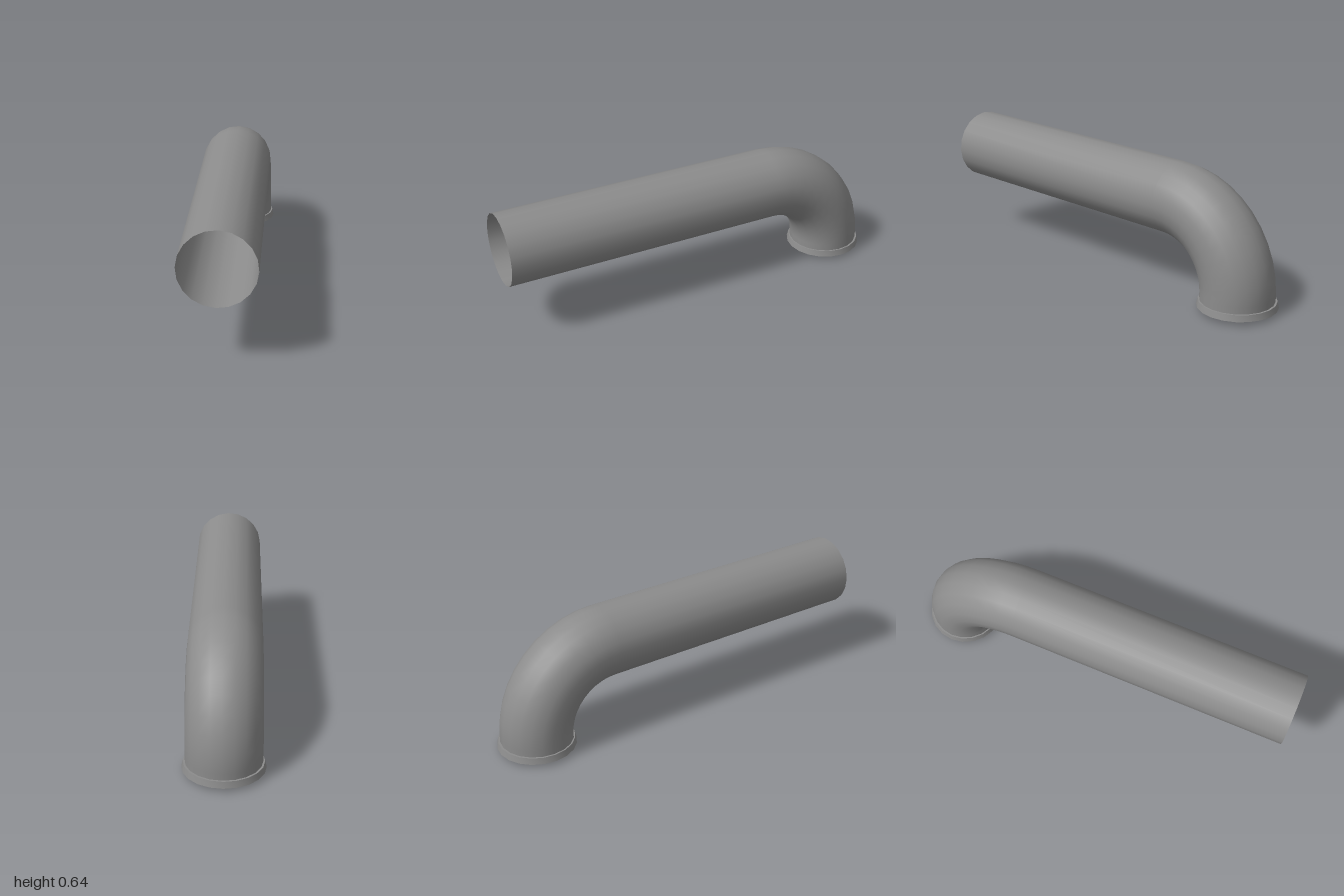
import * as THREE from 'three';
import { toCreasedNormals } from 'three/addons/utils/BufferGeometryUtils.js';

const SIDES = 20, RADIUS = 0.178, BEND = 0.382, BEND_STEPS = 10;
const AXIS_Y = 0.462, DOWN_Z = -0.805;

// Sweeps a circle along stations [y, z, pitch]; pitch 0 heads back, PI/2 heads down
function sweepPipe(stations) {
  const position = [], normal = [], index = [];
  stations.forEach(([y, z, pitch], i) => {
    for (let j = 0; j < SIDES; j++) {
      const t = (j / SIDES) * Math.PI * 2 - 0.035;
      const n = [Math.cos(t), Math.sin(t) * Math.cos(pitch), -Math.sin(t) * Math.sin(pitch)];
      normal.push(...n);
      position.push(n[0] * RADIUS, y + n[1] * RADIUS, z + n[2] * RADIUS);
      if (i === stations.length - 1) continue;
      const a = i * SIDES + j, b = i * SIDES + (j + 1) % SIDES;
      index.push(a, a + SIDES, b, b, a + SIDES, b + SIDES);
    }
  });
  const geometry = new THREE.BufferGeometry();
  geometry.setAttribute('position', new THREE.Float32BufferAttribute(position, 3));
  geometry.setAttribute('normal', new THREE.Float32BufferAttribute(normal, 3));
  geometry.setIndex(index);
  return geometry;
}

export function createModel() {
  const group = new THREE.Group();
  const metal = new THREE.MeshStandardMaterial({ color: 0x8c8c8c, side: THREE.DoubleSide });
  metal.name = 'grey metal';

  // Open straight run, quarter bend, short drop into the flange
  const stations = [[AXIS_Y, 1, 0]];
  for (let i = 0; i <= BEND_STEPS; i++) {
    const a = (i / BEND_STEPS) * Math.PI / 2;
    stations.push([
      AXIS_Y - BEND * (1 - Math.cos(a)),
      DOWN_Z + BEND * (1 - Math.sin(a)),
      a,
    ]);
  }
  stations.push([0.04, DOWN_Z, Math.PI / 2]);
  const pipe = new THREE.Mesh(sweepPipe(stations), metal);
  pipe.name = 'pipe';
  group.add(pipe);

  // Flared flange closed below by stepped concentric rings
  const profile = [
    [0, 0.006], [0.07, 0.006], [0.074, 0], [0.105, 0], [0.107, 0.008],
    [0.138, 0.009], [0.142, 0.015], [0.193, 0.019], [0.186, 0.05], [0.176, 0.05],
  ].map(([r, y]) => new THREE.Vector2(r, y));
  const flange = new THREE.Mesh(
    toCreasedNormals(new THREE.LatheGeometry(profile, SIDES), 0.5), metal);
  flange.name = 'flange';
  flange.position.z = -0.807;
  group.add(flange);

  return group;
}
